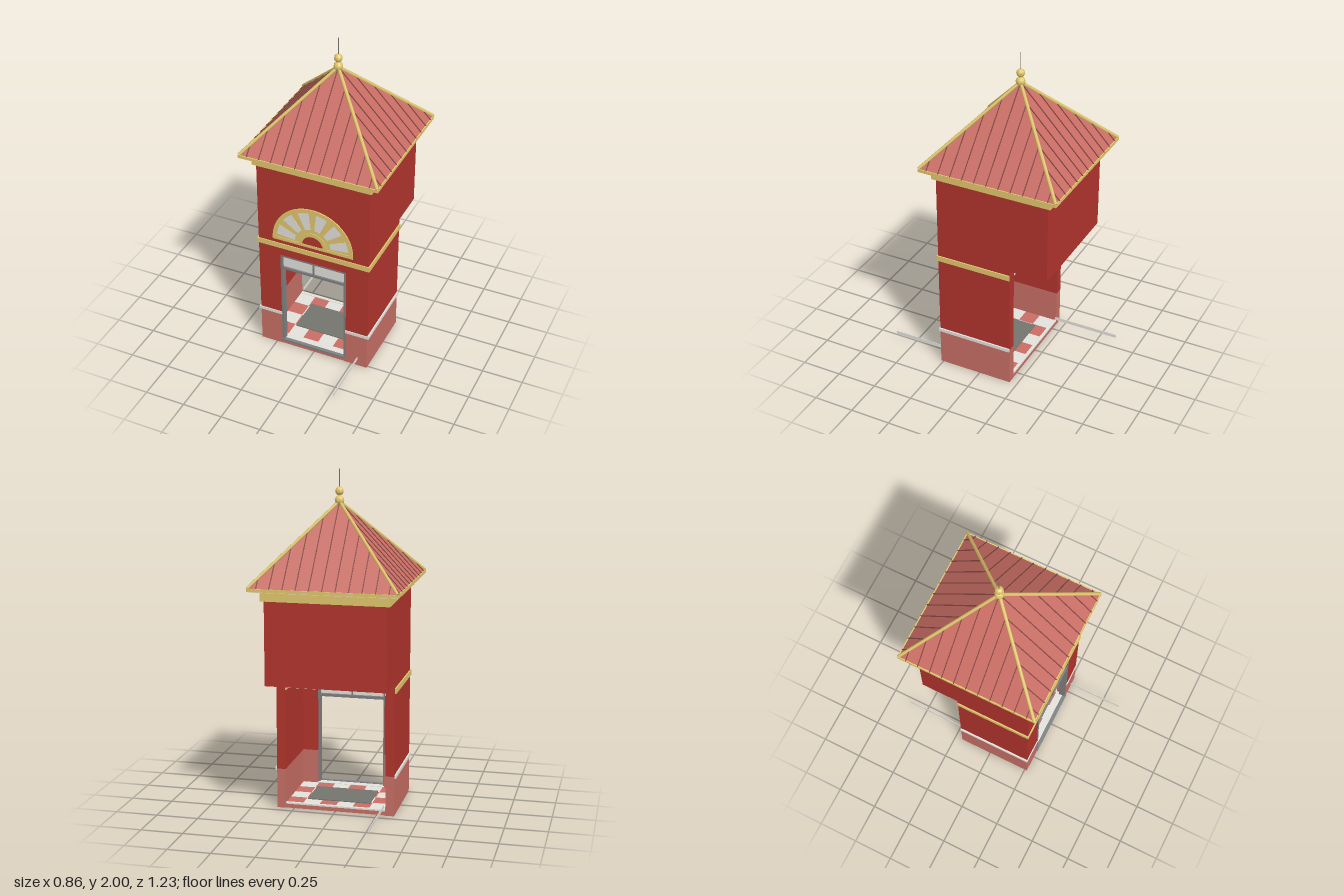
import * as THREE from 'three';

const paint = (name, color) => {
  const m = new THREE.MeshStandardMaterial({ color });
  m.name = name;
  return m;
};

export function createModel() {
  const red = paint('wall red', 0xb1342c), pink = paint('dado pink', 0xc66e64);
  const roofRed = paint('roof red', 0xc96d64), gold = paint('gold', 0xe0c66c);
  const pale = paint('pale grey', 0xe2e0da), steel = paint('steel grey', 0x7d7f80);
  const dark = paint('mat grey', 0x74746e), seam = paint('seam brown', 0x854741);
  const concrete = paint('concrete grey', 0xa6a6a4);
  const model = new THREE.Group();
  model.name = 'tower';

  const add = (name, geo, mat, parent = model) => {
    const m = new THREE.Mesh(geo, mat);
    m.name = name;
    parent.add(m);
    return m;
  };
  // box given by its limits on each axis
  const box = (name, mat, x0, x1, y0, y1, z0, z1, parent) => {
    const m = add(name, new THREE.BoxGeometry(x1 - x0, y1 - y0, z1 - z0), mat, parent);
    m.position.set((x0 + x1) / 2, (y0 + y1) / 2, (z0 + z1) / 2);
    return m;
  };
  const pair = (name, mat, x0, x1, ...rest) => {
    box(name, mat, x0, x1, ...rest);
    box(name, mat, -x1, -x0, ...rest);
  };
  // geometry whose local y axis runs from p to q
  const beam = (name, make, mat, p, q, parent) => {
    const d = q.clone().sub(p), m = add(name, make(d.length()), mat, parent);
    m.position.copy(p).addScaledVector(d, 0.5);
    m.quaternion.setFromUnitVectors(new THREE.Vector3(0, 1, 0), d.normalize());
  };
  const faceted = (geo) => {
    const g = geo.toNonIndexed();
    g.computeVertexNormals();
    return g;
  };

  // plinth and floor
  box('plinth', pink, -0.352, 0.352, 0.002, 0.026, -0.203, 0.265);
  box('baseUnderside', concrete, -0.3, 0.3, 0, 0.004, -0.15, 0.21);
  const nx = 6, nz = 4, tx = 0.6 / nx, tz = 0.39 / nz;
  for (let i = 0; i < nx; i++) for (let j = 0; j < nz; j++) {
    const x = -0.3 + i * tx, z = -0.185 + j * tz;
    box('floorTile', (i + j) % 2 ? roofRed : pale, x, x + tx, 0.026, 0.032, z, z + tz);
  }
  box('floorMat', dark, -0.19, 0.19, 0.032, 0.037, -0.11, 0.12);
  box('backThreshold', pale, -0.3, 0.3, 0.026, 0.035, -0.204, -0.185);
  box('frontThreshold', pale, -0.21, 0.21, 0.026, 0.034, 0.205, 0.264);

  // lower walls with pink dado and pale rail
  pair('sideDado', pink, 0.3, 0.352, 0, 0.24, -0.203, 0.265);
  pair('sideWall', red, 0.3, 0.352, 0.24, 0.8, -0.203, 0.265);
  pair('frontPierDado', pink, 0.21, 0.3, 0, 0.24, 0.205, 0.265);
  pair('frontPier', red, 0.21, 0.3, 0.24, 0.68, 0.205, 0.265);
  box('doorHeadWall', red, -0.3, 0.3, 0.68, 0.8, 0.205, 0.265);
  pair('sideDadoRail', pale, 0.352, 0.362, 0.229, 0.249, -0.203, 0.27);
  pair('frontDadoRail', pale, 0.21, 0.352, 0.229, 0.249, 0.265, 0.27);

  // gold string course
  pair('sideBand', gold, 0.352, 0.36, 0.737, 0.77, -0.203, 0.271);
  box('frontBand', gold, -0.352, 0.352, 0.737, 0.77, 0.265, 0.271);

  // ceiling with ring lamp
  box('ceiling', pale, -0.3, 0.3, 0.735, 0.755, -0.2, 0.205);
  pair('innerCornice', gold, 0.293, 0.3, 0.722, 0.735, -0.2, 0.205);
  const lamp = add('ceilingLamp', new THREE.TorusGeometry(0.042, 0.006, 8, 24), pale);
  lamp.rotation.x = Math.PI / 2;
  lamp.position.set(0, 0.733, 0.02);

  // hollow upper storey overhanging the back
  pair('upperSideWall', red, 0.305, 0.352, 0.8, 1.29, -0.437, 0.265);
  box('upperFrontWall', red, -0.305, 0.305, 0.8, 1.29, 0.22, 0.265);
  box('upperBackWall', red, -0.305, 0.305, 0.8, 1.29, -0.437, -0.39);

  // door frame and transom
  pair('doorJamb', steel, 0.198, 0.212, 0.03, 0.68, 0.225, 0.266);
  box('doorHead', steel, -0.212, 0.212, 0.672, 0.682, 0.225, 0.266);
  box('doorSill', steel, -0.212, 0.212, 0.026, 0.038, 0.25, 0.272);
  box('transomBar', steel, -0.2, 0.2, 0.58, 0.596, 0.228, 0.264);
  box('transomMullion', steel, -0.004, 0.004, 0.596, 0.672, 0.235, 0.264);
  box('transomGlass', pale, -0.2, 0.2, 0.595, 0.672, 0.247, 0.253);

  // fanlight: sector plates built from angles and radii
  const fan = new THREE.Group();
  fan.name = 'fanlight';
  fan.position.set(0, 0.812, 0.265);
  model.add(fan);
  const sector = (name, mat, r0, r1, a0, a1, depth) => {
    const s = new THREE.Shape();
    s.absarc(0, 0, r1, a0, a1, false);
    if (r0) s.absarc(0, 0, r0, a1, a0, true);
    s.closePath();
    add(name, new THREE.ExtrudeGeometry(s, { depth, bevelEnabled: false, curveSegments: 20 }), mat, fan);
  };
  sector('fanPanel', gold, 0, 0.25, 0, Math.PI, 0.003);
  sector('fanOuterRing', gold, 0.23, 0.256, 0, Math.PI, 0.007);
  sector('fanInnerRing', gold, 0.066, 0.09, 0, Math.PI, 0.007);
  sector('fanHub', red, 0, 0.066, 0, Math.PI, 0.005);
  for (let i = 0; i < 6; i++) {
    const a = (i + 0.5) * Math.PI / 6;
    sector('fanPane', pale, 0.115, 0.23, a - 0.155, a + 0.155, 0.0045);
  }
  box('fanSill', gold, -0.256, 0.256, -0.015, 0.004, 0, 0.007, fan);

  // cornice and eaves
  box('cornice', gold, -0.37, 0.37, 1.29, 1.352, -0.457, 0.285);
  box('soffit', pale, -0.422, 0.422, 1.349, 1.355, -0.512, 0.332);
  box('eaves', gold, -0.428, 0.428, 1.352, 1.37, -0.518, 0.338);

  // pyramid roof with standing seams and hip ridges
  const roof = new THREE.Group();
  roof.name = 'roof';
  roof.position.set(0, 1.367, -0.09);
  model.add(roof);
  const half = 0.424, rise = 0.447;
  const cone = new THREE.ConeGeometry(half * Math.SQRT2, rise, 4);
  cone.rotateY(Math.PI / 4);
  add('roofSlopes', faceted(cone), roofRed, roof).position.y = rise / 2;
  for (let k = 0; k < 4; k++) {
    const side = new THREE.Group();
    side.name = 'roofSide';
    side.rotation.y = k * Math.PI / 2;
    roof.add(side);
    for (let i = -5; i <= 5; i++) {
      const u = i * 0.075, t = Math.abs(u);
      beam('roofSeam', (l) => new THREE.BoxGeometry(0.005, l, 0.009), seam,
        new THREE.Vector3(u, 0, half), new THREE.Vector3(u, rise * (1 - t / half), t), side);
    }
    beam('hipRidge', (l) => new THREE.CylinderGeometry(0.01, 0.01, l, 6), gold,
      new THREE.Vector3(half, 0.004, half), new THREE.Vector3(0, rise + 0.004, 0), side);
  }

  // finial and spire
  for (const [y, r] of [[1.823, 0.028], [1.875, 0.025]]) {
    add('finialBall', faceted(new THREE.SphereGeometry(r, 10, 8)), gold).position.set(0, y, -0.09);
  }
  add('finialNeck', new THREE.CylinderGeometry(0.01, 0.01, 0.05, 8), gold).position.set(0, 1.85, -0.09);
  add('spire', new THREE.CylinderGeometry(0.0025, 0.0025, 0.13, 8), dark).position.set(0, 1.935, -0.09);

  // barrier arms at opposite corners
  box('frontBarrier', pale, 0.289, 0.291, 0.043, 0.065, 0.265, 0.617);
  box('backBarrier', pale, -0.291, -0.289, 0.043, 0.065, -0.617, -0.2);

  return model;
}
